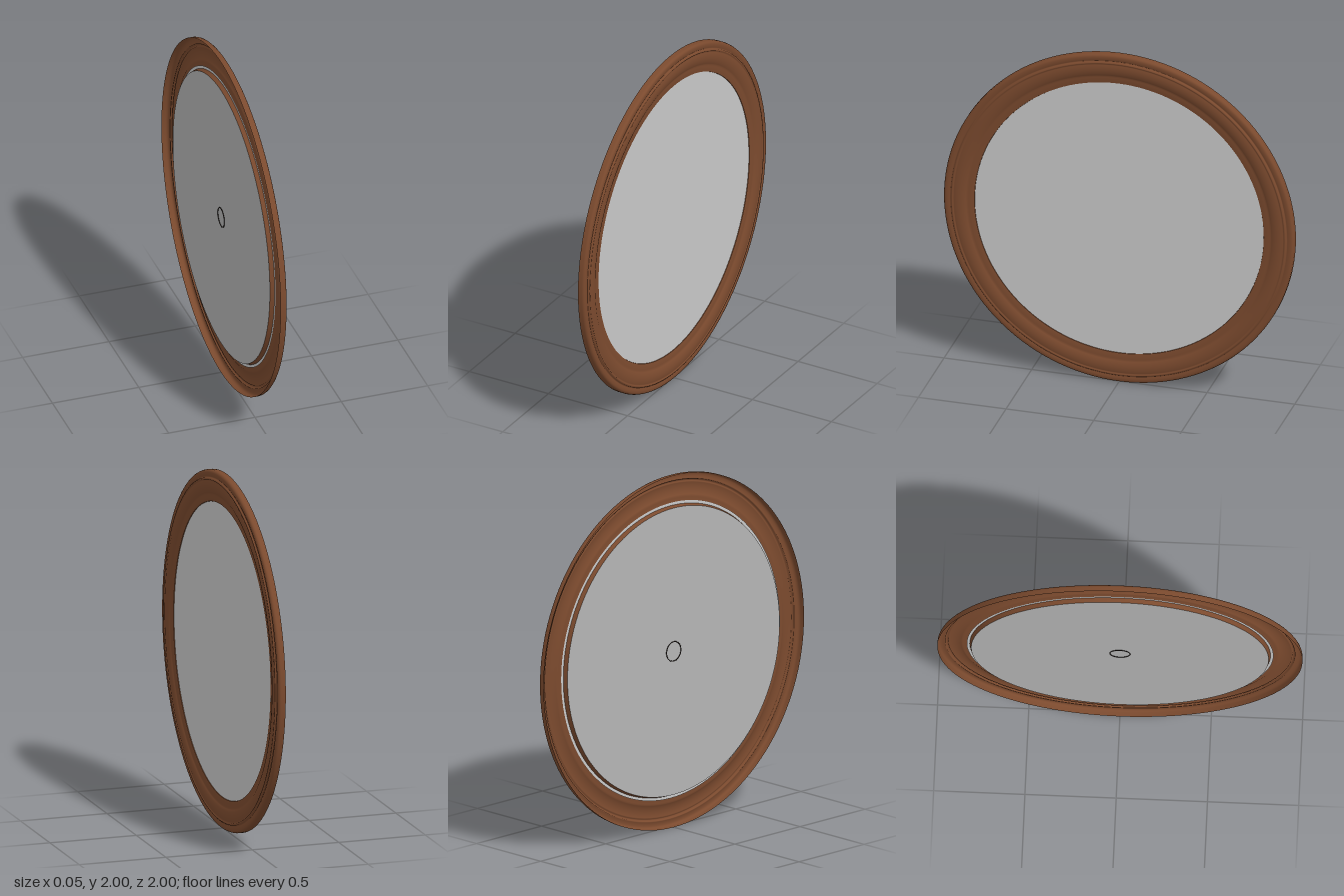
import * as THREE from 'three';

const wood = new THREE.MeshStandardMaterial({ color: 0x7b4a2e, side: THREE.DoubleSide });
wood.name = 'brown wood';
const glass = new THREE.MeshStandardMaterial({ color: 0xc9c9c9, side: THREE.DoubleSide });
glass.name = 'silver glass';
const backing = new THREE.MeshStandardMaterial({ color: 0xb4b4b4, side: THREE.DoubleSide });
backing.name = 'grey backing';
const dark = new THREE.MeshStandardMaterial({ color: 0x1c1512 });
dark.name = 'dark metal';

const SEGMENTS = 128;

// Adds a named mesh; every part is centred on the x axis
function add(group, name, geometry, material, x = 0) {
  const mesh = new THREE.Mesh(geometry, material);
  mesh.name = name;
  mesh.position.set(x, 1, 0);
  group.add(mesh);
}

// Revolves [radius, x] pairs around the x axis
function ring(points) {
  const profile = points.map(([r, x]) => new THREE.Vector2(r, x));
  return new THREE.LatheGeometry(profile, SEGMENTS).rotateZ(-Math.PI / 2);
}

export function createModel() {
  const mirror = new THREE.Group();
  mirror.name = 'roundMirror';

  // Moulded frame, an open shell at the back
  add(mirror, 'frame', ring([
    [1, -0.024], [1, 0], [0.997, 0.008], [0.992, 0.013], [0.985, 0.016],
    [0.972, 0.016], [0.963, 0.013], [0.958, 0.012],
    [0.956, 0.018], [0.951, 0.022], [0.946, 0.022], [0.943, 0.018],
    [0.938, 0.019], [0.925, 0.022], [0.905, 0.022], [0.885, 0.018], [0.872, 0.012],
    [0.866, 0.009], [0.858, 0.009], [0.84, 0.008], [0.825, 0.005],
  ]), wood);

  // Inner wall running from the lip to the backing
  add(mirror, 'innerWall', ring([[0.815, -0.022], [0.825, 0.005]]), wood);

  // Reflecting disc, tucked under the lip
  add(mirror, 'glass', new THREE.CircleGeometry(0.84, SEGMENTS).rotateY(Math.PI / 2), glass, 0.002);

  // Back board and its round hanging ring
  add(mirror, 'backBoard', new THREE.CircleGeometry(0.815, SEGMENTS).rotateY(-Math.PI / 2), backing, -0.022);
  add(mirror, 'hangingRing', new THREE.TorusGeometry(0.055, 0.0025, 8, 48).rotateY(Math.PI / 2), dark, -0.023);

  return mirror;
}
